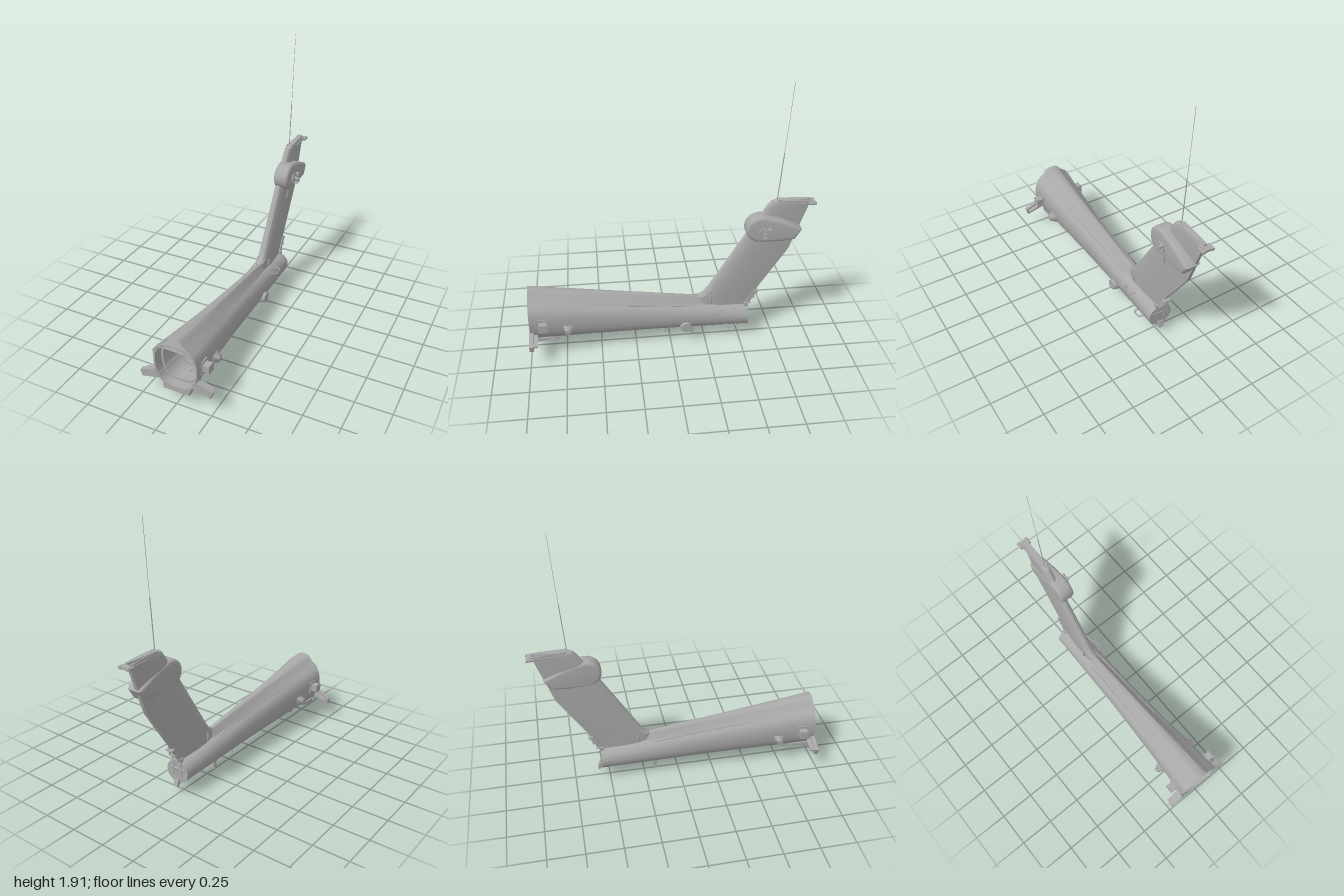
import * as THREE from 'three';
import { toCreasedNormals } from 'three/addons/utils/BufferGeometryUtils.js';

const V = (x, y, z) => new THREE.Vector3(x, y, z);
const lerp = THREE.MathUtils.lerp;

// piecewise linear lookup in [[key, value], ...] with falling keys
function at(table, k) {
  for (let i = 1; i < table.length; i++) {
    const [a, va] = table[i - 1], [b, vb] = table[i];
    if (k >= b || i === table.length - 1) return lerp(va, vb, THREE.MathUtils.clamp((a - k) / (a - b), 0, 1));
  }
}

// skin a list of equal-length closed rings
function loft(rings, capStart, capEnd, crease = 0.6) {
  const n = rings[0].length, pos = [], idx = [];
  rings.forEach(r => r.forEach(p => pos.push(p.x, p.y, p.z)));
  for (let i = 0; i < rings.length - 1; i++)
    for (let j = 0; j < n; j++) {
      const a = i * n + j, b = i * n + (j + 1) % n;
      idx.push(a, b, a + n, b, b + n, a + n);
    }
  const cap = (ring, base, flip) => {
    const c = ring.reduce((s, p) => s.add(p), V(0, 0, 0)).divideScalar(n), k = pos.length / 3;
    pos.push(c.x, c.y, c.z);
    for (let j = 0; j < n; j++) {
      const a = base + j, b = base + (j + 1) % n;
      idx.push(...(flip ? [k, b, a] : [k, a, b]));
    }
  };
  if (capStart) cap(rings[0], 0, true);
  if (capEnd) cap(rings[rings.length - 1], (rings.length - 1) * n, false);
  const g = new THREE.BufferGeometry();
  g.setAttribute('position', new THREE.Float32BufferAttribute(pos, 3));
  g.setIndex(idx);
  return toCreasedNormals(g, crease);
}

// boom cross-section: squarish at the front, round at the rear
const boomWidth = [[1, 0.155], [0.6, 0.128], [0.2, 0.104], [-0.2, 0.094], [-0.56, 0.087]];
const boomTop = z => 0.44 - 0.122 * (1 - z);
const boomBottom = z => 0.118 - 0.02 * (1 - z);
function boomPoint(z, a, s = 1) {
  const k = (z + 0.56) / 1.56, e = 2 / lerp(2, 3, k);
  const c = Math.cos(a), d = Math.sin(a);
  const sy = Math.sign(d) * Math.abs(d) ** e;
  const x = at(boomWidth, z) * Math.sign(c) * Math.abs(c) ** e * (1 - 0.14 * k * Math.max(0, -sy));
  const t = boomTop(z), b = boomBottom(z);
  return V(x * s, (t + b) / 2 + sy * s * (t - b) / 2, z);
}
const boomRing = (z, s) => Array.from({ length: 40 }, (_, i) => boomPoint(z, i / 40 * Math.PI * 2, s));

// fin profile: leading z, trailing z, half thickness at each height
const finLevels = [
  [0.2, -0.2, -0.53, 0.036], [0.34, -0.2, -0.6, 0.036], [0.365, -0.235, -0.617, 0.036], [0.41, -0.27, -0.645, 0.036],
  [0.70, -0.447, -0.835, 0.033], [0.82, -0.52, -0.877, 0.031], [1.045, -0.667, -0.957, 0.028],
  [1.072, -0.69, -0.965, 0.026], [1.085, -0.73, -0.968, 0.02]];
const foil = [[0, 0], [0.02, 0.5], [0.08, 0.85], [0.25, 1], [0.5, 0.95], [0.8, 0.65], [1, 0.42]];
function finRing([y, lead, trail, h]) {
  const side = s => foil.map(([u, w]) => V(s * w * h, y, lerp(lead, trail, u)));
  return [...side(1), ...side(-1).slice(1).reverse()];
}

export function createModel() {
  const model = new THREE.Group();
  const grey = new THREE.MeshStandardMaterial({ color: 0xa8a8a8, side: THREE.DoubleSide });
  grey.name = 'airframe grey';
  const add = (name, geo, x = 0, y = 0, z = 0, parent = model) => {
    const m = new THREE.Mesh(geo, grey);
    m.name = name;
    m.position.set(x, y, z);
    parent.add(m);
    return m;
  };
  const box = (name, w, h, d, x, y, z) => add(name, new THREE.BoxGeometry(w, h, d), x, y, z);
  const rod = (name, pts, r, seg = 12) =>
    add(name, new THREE.TubeGeometry(new THREE.CatmullRomCurve3(pts, false, 'centripetal'), seg, r, 6));
  // plate drawn in (z, y), extruded along x from x0 to x1
  const sidePlate = (name, pts, x0, x1, bevel = 0) => {
    const shape = new THREE.Shape(pts.map(([z, y]) => new THREE.Vector2(-z, y)));
    const g = new THREE.ExtrudeGeometry(shape, { depth: x1 - x0 - 2 * bevel, bevelEnabled: bevel > 0,
      bevelSize: bevel, bevelOffset: -bevel, bevelThickness: bevel, bevelSegments: 4 });
    g.translate(0, 0, x0 + bevel).rotateY(Math.PI / 2);
    return add(name, toCreasedNormals(g, 0.6));
  };

  // boom skin, inner liner, end rims and frames
  const zs = Array.from({ length: 14 }, (_, i) => lerp(0.995, -0.56, i / 13));
  add('boomSkin', loft(zs.map(z => boomRing(z, 1))));
  add('boomLiner', loft(zs.map(z => boomRing(z, 0.93)), false, true));
  add('frontRim', loft([boomRing(0.995, 1), boomRing(0.995, 0.93)]));
  add('rearRim', loft([boomRing(-0.56, 1), boomRing(-0.56, 0.86), boomRing(-0.535, 0.84)], false, true));
  for (let i = 0; i < 9; i++) {
    const z = 0.93 - i * 0.16;
    add('frame', loft([boomRing(z, 0.93), boomRing(z, 0.83), boomRing(z - 0.012, 0.83), boomRing(z - 0.012, 0.93)]));
  }
  for (const a of [0.5, 1.1, 2.04, 2.64, 3.6, 5.82])
    rod('stringer', zs.slice(0, 10).map(z => boomPoint(z, a, 0.92)), 0.005, 20);

  // drive shaft cover along the top
  const hump = [[1, -0.25], [0.8, 0.1], [0.55, 0.4], [0.42, 0.72], [0.25, 0.95], [0, 1]];
  const humpRing = z => {
    const w = at([[1, 0.135], [0.4, 0.085], [-0.2, 0.052], [-0.34, 0.04]], z);
    const b = boomTop(z) - 0.015, h = at([[1, 0.075], [-0.2, 0.064], [-0.34, 0.03]], z);
    return [...hump.map(([u, v]) => V(u * w, b + v * h, z)),
      ...hump.slice(0, -1).reverse().map(([u, v]) => V(-u * w, b + v * h, z))];
  };
  add('shaftCover', loft([0.995, 0.7, 0.4, 0.1, -0.2, -0.27, -0.34].map(humpRing), false, true));

  // seam rails
  for (const a of [1.0, Math.PI - 1.0])
    rod('seamRail', [0.99, 0.6, 0.2, -0.18].map(z => boomPoint(z, a, 1.005)), 0.0045, 20);

  // vertical fin, cap and tip lights
  add('fin', loft(finLevels.map(finRing), false, true, 0.5));
  sidePlate('finCap', [[-0.73, 1.086], [-0.74, 1.072], [-0.96, 1.05], [-0.985, 1.055], [-0.975, 1.068]], -0.024, 0.024);
  box('tipBar', 0.08, 0.018, 0.03, 0, 1.055, -0.98);
  for (const s of [-1, 1]) {
    const lamp = add('tipLamp', new THREE.CylinderGeometry(0.011, 0.011, 0.05, 10), s * 0.032, 1.055, -0.975);
    lamp.rotation.x = Math.PI / 2;
    box('tipStrip', 0.006, 0.008, 0.13, s * 0.026, 1.057, -0.89);
    rod('finRootRail', [V(s * 0.04, 0.29, -0.29), V(s * 0.045, 0.32, -0.29), V(s * 0.04, 0.35, -0.29)], 0.007);
  }

  // whip antenna leaning back
  rod('antennaBase', [V(0, 1.07, -0.732), V(0, 1.25, -0.745), V(0, 1.42, -0.757)], 0.0032);
  rod('antennaWhip', [V(0, 1.42, -0.757), V(0, 1.66, -0.774), V(0, 1.905, -0.79)], 0.0014);

  // tail rotor gearbox fairing
  const pod = [];
  for (let i = 0; i <= 14; i++) {
    const a = lerp(1.15, 4.75, i / 14);
    pod.push([-0.622 - Math.cos(a) * -0.107 , 0.892 + Math.sin(a) * 0.097]);
  }
  const podOutline = pod.map(([z, y]) => [-1.244 - z, y]);
  sidePlate('gearboxFairing', [...podOutline, [-0.76, 0.793], [-0.86, 0.803], [-0.905, 0.875], [-0.89, 0.893], [-0.76, 0.955]],
    -0.032, 0.08, 0.022);
  const across = (name, r, len, x, y, z, r2 = r) => {
    const m = add(name, new THREE.CylinderGeometry(r2, r, len, 24), x, y, z);
    m.rotation.z = -Math.PI / 2;
    return m;
  };
  across('rotorBoss', 0.041, 0.012, 0.083, 0.866, -0.64);
  across('rotorShaft', 0.012, 0.045, 0.1, 0.872, -0.645);
  box('hubBar', 0.008, 0.075, 0.014, 0.112, 0.872, -0.655).rotation.x = 0.5;
  for (const s of [-1, 1]) box('hubLug', 0.028, 0.012, 0.02, 0.1, 0.872 + s * 0.03, -0.655 - s * 0.016);
  rod('gearboxDrain', [V(0.05, 0.8, -0.625), V(0.043, 0.75, -0.63), V(0.034, 0.7, -0.628)], 0.005);

  // paired fittings near the front
  for (const s of [-1, 1]) {
    const wing = new THREE.Shape([[0.115, 0.165], [0.245, 0.133], [0.258, 0.18], [0.15, 0.222]]
      .map(([x, y]) => new THREE.Vector2(s * x, y)));
    add('sideWing', new THREE.ExtrudeGeometry(wing, { depth: 0.03, bevelEnabled: false }), 0, 0, 0.968);
    box('wingWeb', 0.1, 0.012, 0.05, s * 0.195, 0.183, 0.965).rotation.z = -s * 0.32;
    box('stepFrame', 0.055, 0.05, 0.055, s * 0.168, 0.282, 0.9);
    box('stepLip', 0.008, 0.058, 0.06, s * 0.197, 0.282, 0.9);
    box('stepBase', 0.012, 0.085, 0.075, s * 0.147, 0.282, 0.9);
    const scoop = add('sideScoop', new THREE.CylinderGeometry(0.022, 0.052, 0.05, 4, 1, false, Math.PI / 4), s * 0.15, 0.222, 0.73);
    scoop.rotation.z = -s * Math.PI / 2;
  }

  // belly fairing, blades and probes
  sidePlate('bellyFairing', [[0.995, 0.13], [0.995, 0.094], [0.87, 0.112], [0.84, 0.13]], -0.095, 0.095);
  const blade = (name, z, top, low, w) =>
    sidePlate(name, [[z + w, top], [z + w * 0.5, low], [z - w * 0.5, low], [z - w * 0.7, top]], -0.006, 0.006);
  blade('frontBlade', 0.82, 0.13, 0.04, 0.03);
  blade('rearBlade', -0.165, 0.11, 0, 0.02);
  sidePlate('bellyVane', [[0.33, 0.115], [0.24, 0.07], [0.225, 0.075], [0.25, 0.115]], -0.008, 0.008);
  rod('bellyProbe', [V(0, 0.11, 0.04), V(0, 0.07, 0.038), V(0, 0.033, 0.036)], 0.004);

  // sensor dome and grab handles on the left side
  across('sensorDome', 0.046, 0.045, 0.09, 0.14, -0.107, 0.036);
  for (const [y, z0, z1] of [[0.245, -0.27, -0.355], [0.125, -0.4, -0.47]])
    rod('grabHandle', [V(0.07, y, z0), V(0.108, y, z0 - 0.006), V(0.112, y, (z0 + z1) / 2), V(0.108, y, z1 + 0.006), V(0.07, y, z1)], 0.005, 20);

  // rear bulkhead fittings and hinge brackets
  across('rearShaft', 0.014, 0.12, 0, 0.19, -0.55);
  for (const s of [-1, 1]) {
    box('hingePost', 0.01, 0.13, 0.03, s * 0.03, 0.205, -0.55);
    box('hingeArm', 0.008, 0.13, 0.03, s * 0.02, 0.31, -0.585).rotation.x = -0.55;
  }
  for (let i = 0; i < 3; i++) box('hingeRung', 0.055, 0.01, 0.025, 0, 0.265 + i * 0.045, -0.575 - i * 0.025);
  sidePlate('tailSkid', [[-0.53, 0.105], [-0.575, 0.062], [-0.585, 0.07], [-0.57, 0.115]], -0.018, 0.018);
  return model;
}
